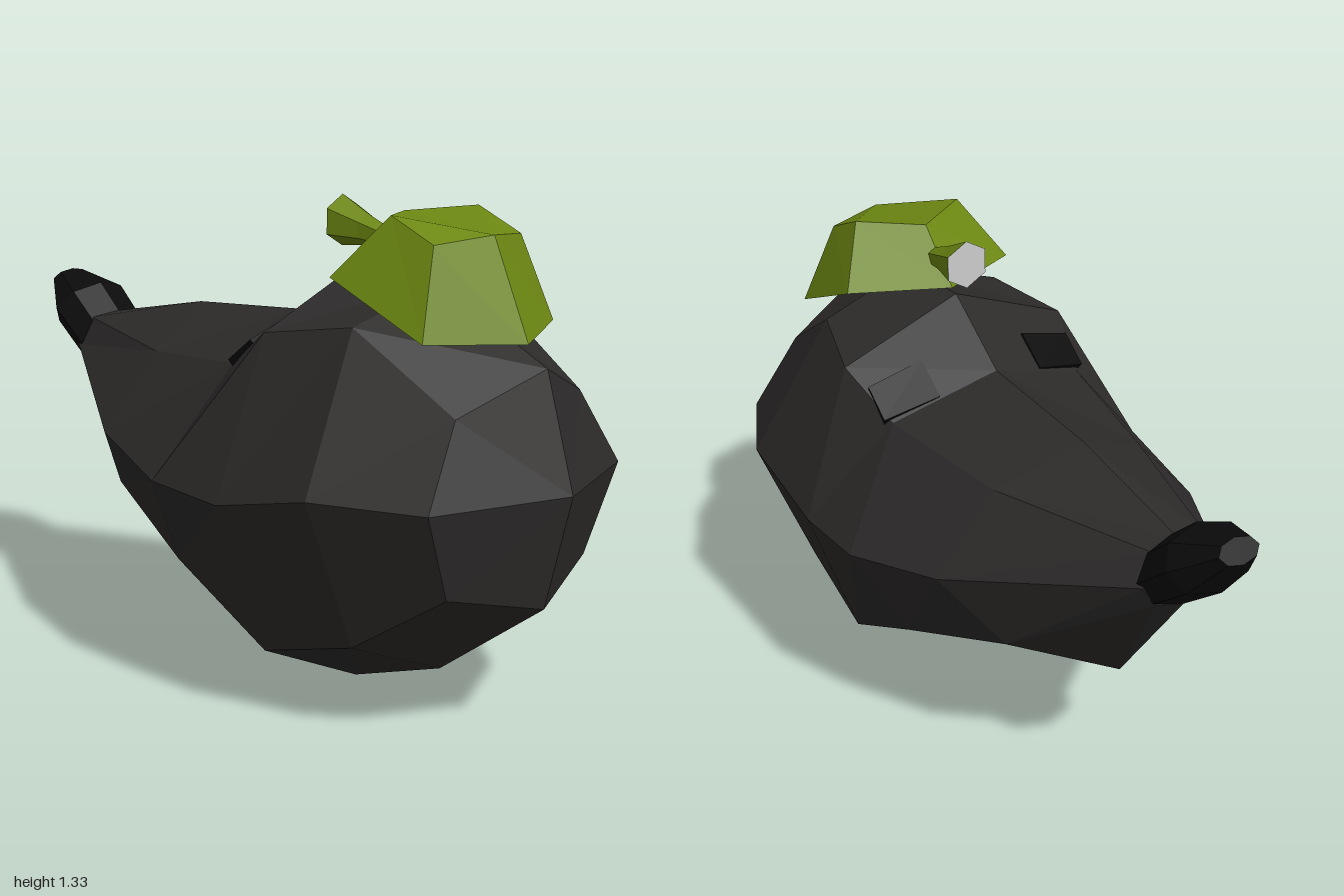
import * as THREE from 'three';

const mat = (color) => new THREE.MeshStandardMaterial({ color, flatShading: true });

// Full ring from half a ring: first and last points lie on the mirror plane z = 0
const mirrorRing = (half) => [
  ...half,
  ...half.slice(1, -1).reverse().map(([x, y, z]) => [x, y, -z]),
];

// Joins rings of equal point count with flat quads and closes both ends
function loft(rings, capStart = true, capEnd = true) {
  const pos = [];
  const tri = (...pts) => pts.forEach((p) => pos.push(...p));
  const n = rings[0].length;
  for (let r = 0; r < rings.length - 1; r++) {
    const a = rings[r], b = rings[r + 1];
    for (let i = 0; i < n; i++) {
      const j = (i + 1) % n;
      tri(a[i], a[j], b[i]);
      tri(a[j], b[j], b[i]);
    }
  }
  const s = rings[0], e = rings[rings.length - 1];
  for (let i = 1; i < n - 1; i++) {
    if (capStart) tri(s[0], s[i + 1], s[i]);
    if (capEnd) tri(e[0], e[i], e[i + 1]);
  }
  const geo = new THREE.BufferGeometry();
  geo.setAttribute('position', new THREE.Float32BufferAttribute(pos, 3));
  geo.computeVertexNormals();
  return geo;
}

export function createModel() {
  const group = new THREE.Group();
  const add = (name, geo, material) => {
    const mesh = new THREE.Mesh(geo, material);
    mesh.name = name;
    group.add(mesh);
    return mesh;
  };
  const fur = mat(0x2d2b2a), black = mat(0x0b0b0c), green = mat(0x6c8712);

  // Head: snout to crown, each section top, upper side, side, lower side, bottom
  const sections = [
    [[-0.76, 0.89, 0], [-0.765, 0.88, 0.08], [-0.78, 0.8, 0.12], [-0.785, 0.74, 0.08], [-0.79, 0.72, 0]],
    [[-0.35, 0.97, 0], [-0.28, 0.865, 0.23], [-0.29, 0.66, 0.41], [-0.4, 0.47, 0.27], [-0.54, 0.37, 0]],
    [[0.07, 1.0, 0], [0.12, 0.9, 0.3], [0.02, 0.6, 0.5], [-0.04, 0.34, 0.36], [-0.04, 0.175, 0]],
    [[0.28, 1.15, 0], [0.29, 1.01, 0.35], [0.27, 0.585, 0.5], [0.29, 0.165, 0.35], [0.285, 0, 0]],
    [[0.56, 1.13, 0], [0.53, 1.045, 0.28], [0.59, 0.66, 0.5], [0.59, 0.25, 0.335], [0.59, 0.105, 0]],
    [[0.91, 0.96, 0], [0.83, 0.86, 0.24], [0.865, 0.655, 0.37], [0.84, 0.42, 0.27], [0.925, 0.355, 0]],
    Array(5).fill([1.0, 0.66, 0]),
  ];
  add('head', loft(sections.map(mirrorRing), true, false), fur);

  // Nose: tilted eight-sided plug, given by top and bottom points and half width
  const noseRing = ([tx, ty, bx, by, w]) =>
    Array.from({ length: 8 }, (_, i) => {
      const a = (i * Math.PI) / 4, t = (1 - Math.cos(a)) / 2;
      return [tx + (bx - tx) * t, ty + (by - ty) * t, Math.sin(a) * w];
    });
  add('nose', loft([
    [-0.96, 1.0, -1.0, 0.945, 0.06],
    [-0.82, 0.97, -0.93, 0.83, 0.13],
    [-0.73, 0.89, -0.79, 0.72, 0.125],
  ].map(noseRing)), black);

  // Eyes: thin slabs set into the brow
  const eye = [[0.105, 0.945, 0.16], [0.13, 0.905, 0.32], [0.215, 0.97, 0.32], [0.2, 1.015, 0.16]];
  const eyeAt = (d, side) => {
    const ring = eye.map(([x, y, z]) => [x - 0.57 * d, y + 0.77 * d, side * (z + 0.28 * d)]);
    return side > 0 ? ring : ring.reverse();
  };
  add('leftEye', loft([eyeAt(-0.03, 1), eyeAt(0.01, 1)]), black);
  add('rightEye', loft([eyeAt(-0.03, -1), eyeAt(0.01, -1)]), black);

  // Cap: tilted six-sided frustum
  add('cap', loft([
    [[0.85, 1.01, 0], [0.73, 1.025, -0.25], [0.43, 1.155, -0.26], [0.3, 1.16, 0]],
    [[0.735, 1.265, 0], [0.685, 1.25, -0.165], [0.545, 1.31, -0.165], [0.44, 1.3, 0]],
  ].map(mirrorRing)), green);

  // Stem: six-sided, flaring toward its cut end
  const stemRing = ([x, y, r]) =>
    Array.from({ length: 6 }, (_, i) => {
      const a = (i * Math.PI) / 3;
      return [x, y + r * Math.cos(a), r * Math.sin(a)];
    });
  add('stem', loft([[0.22, 1.257, 0.068], [0.31, 1.24, 0.042], [0.4, 1.222, 0.024]].map(stemRing), false), green);

  // Cut end of the stem
  const cut = add('stemEnd', new THREE.CircleGeometry(0.068, 6, Math.PI / 2), mat(0xcccccc));
  cut.rotation.y = -Math.PI / 2;
  cut.position.set(0.22, 1.257, 0);

  return group;
}
